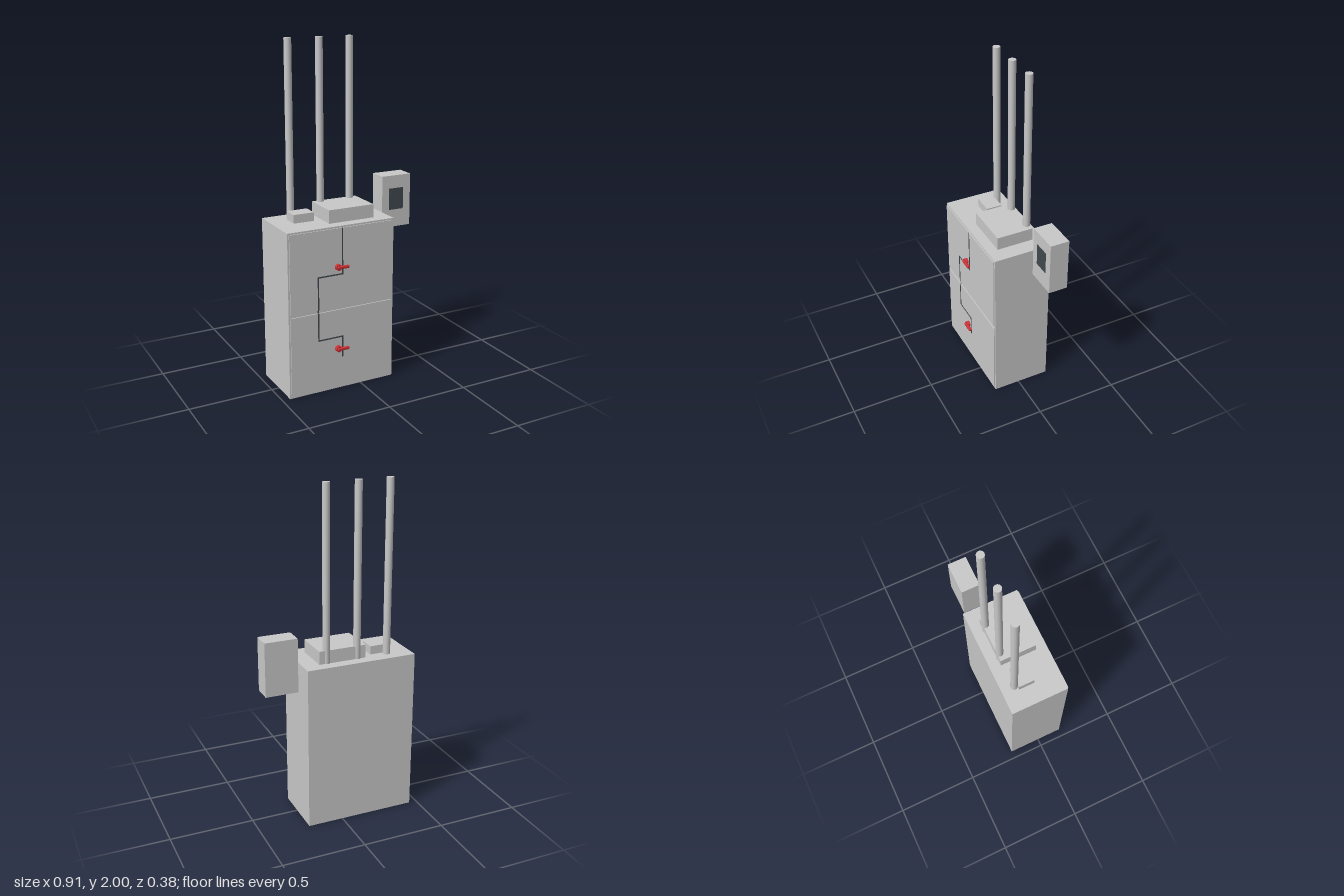
import * as THREE from 'three';
import { RoundedBoxGeometry } from 'three/addons/geometries/RoundedBoxGeometry.js';

const material = (name, color) => {
  const m = new THREE.MeshStandardMaterial({ color });
  m.name = name;
  return m;
};

export function createModel() {
  const model = new THREE.Group();
  model.name = 'switchCabinet';
  const grey = material('cabinet grey', 0xc8c8c8);
  const dark = material('dark slate', 0x41494e);
  const red = material('handle red', 0xd03034);

  const add = (name, geometry, mat, x, y, z) => {
    const mesh = new THREE.Mesh(geometry, mat);
    mesh.name = name;
    mesh.position.set(x, y, z);
    model.add(mesh);
    return mesh;
  };
  // Box given by its lower and upper limits on each axis
  const box = (name, mat, [x0, x1], [y0, y1], [z0, z1]) =>
    add(name, new THREE.BoxGeometry(x1 - x0, y1 - y0, z1 - z0), mat,
      (x0 + x1) / 2, (y0 + y1) / 2, (z0 + z1) / 2);

  // Cabinet with two front panels separated by a narrow gap
  box('cabinetBody', grey, [-0.454, 0.214], [0, 0.984], [-0.193, 0.157]);
  box('lowerPanel', grey, [-0.444, 0.204], [0.01, 0.49], [0.157, 0.163]);
  box('upperPanel', grey, [-0.444, 0.204], [0.508, 0.974], [0.157, 0.163]);

  // Roof housings
  box('smallRoofBox', grey, [-0.341, -0.215], [0.984, 1.034], [-0.097, -0.002]);
  box('largeRoofBox', grey, [-0.167, 0.118], [0.984, 1.062], [-0.129, 0.093]);

  // Conduits rising from the roof
  for (const x of [-0.31, -0.12, 0.07]) {
    add('conduit', new THREE.CylinderGeometry(0.0215, 0.0215, 1.016, 24), grey, x, 1.492, -0.114);
  }

  // Separate control box with its screen
  box('controlBox', grey, [0.262, 0.454], [0.859, 1.175], [-0.169, -0.056]);
  box('controlScreen', dark, [0.309, 0.405], [0.966, 1.097], [-0.056, -0.054]);

  // Stepped circuit line on the panels, drawn as thin plates
  const h = 0.004;
  const paths = [
    [[-0.12, 0.97], [-0.12, 0.703], [-0.272, 0.703], [-0.272, 0.512]],
    [[-0.272, 0.486], [-0.272, 0.323], [-0.12, 0.323], [-0.12, 0.2]],
  ];
  for (const path of paths) {
    for (let i = 0; i < path.length - 1; i++) {
      const [a, b] = [path[i], path[i + 1]];
      const span = k => [Math.min(a[k], b[k]) - h, Math.max(a[k], b[k]) + h];
      box('circuitLine', dark, span(0), span(1), [0.161, 0.1645]);
    }
  }
  // Short piece of the line set back inside the panel gap
  box('circuitLineInGap', dark, [-0.272 - h, -0.272 + h], [0.49, 0.508], [0.157, 0.1585]);

  // Rotary handles: round hub and sideways lever
  for (const y of [0.749, 0.254]) {
    const hub = add('handleHub', new THREE.CylinderGeometry(0.018, 0.018, 0.021, 24), red, -0.151, y, 0.1735);
    hub.rotation.x = Math.PI / 2;
    add('handleLever', new RoundedBoxGeometry(0.075, 0.017, 0.018, 3, 0.005), red, -0.1265, y, 0.183);
  }
  return model;
}
